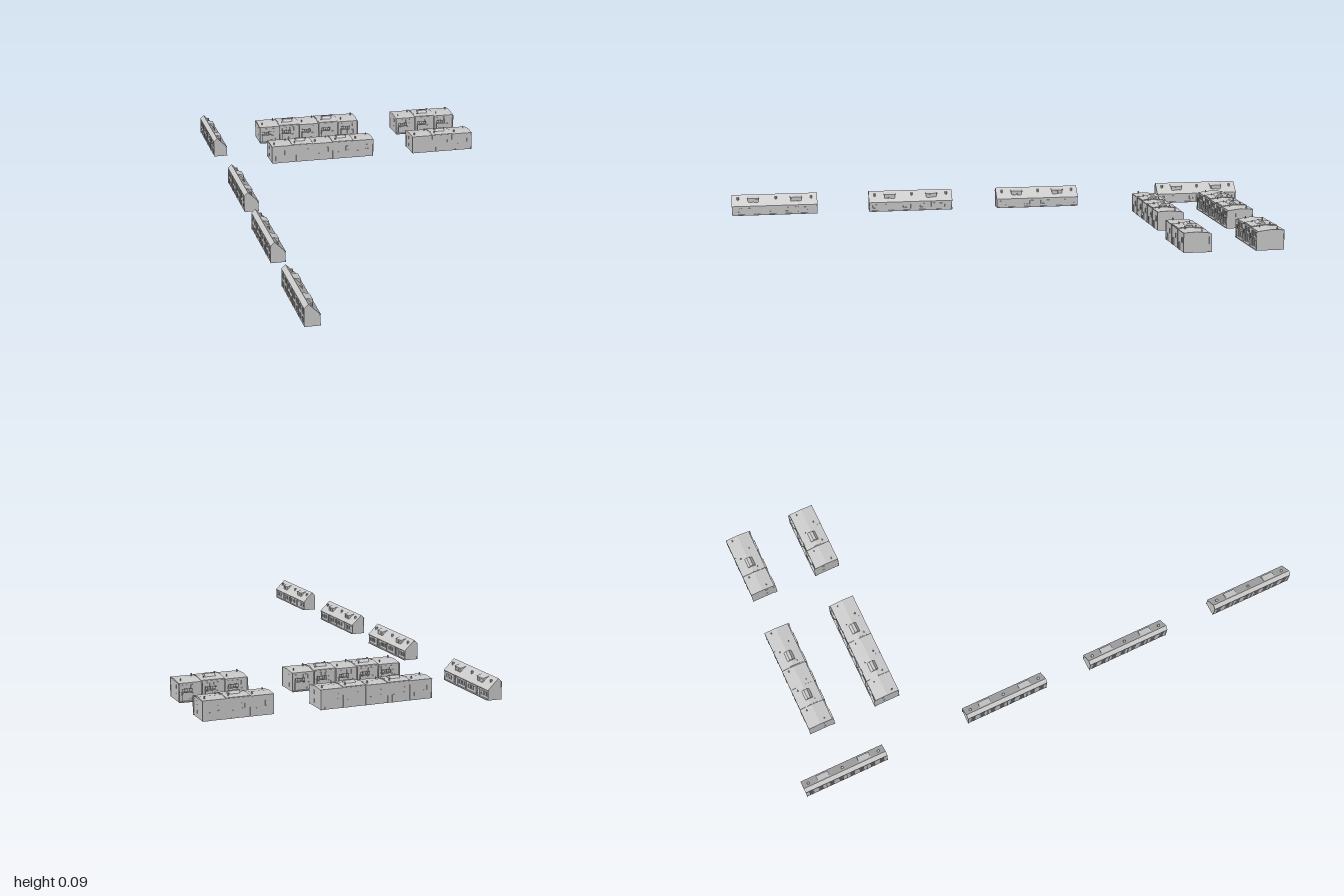
import * as THREE from 'three';

const material = new THREE.MeshStandardMaterial({ color: 0xcccccc, flatShading: true });
const UNIT = 0.089; // width of one terraced house

function add(parent, name, geometry, x = 0, y = 0, z = 0) {
  const mesh = new THREE.Mesh(geometry, material);
  mesh.name = name;
  mesh.position.set(x, y, z);
  parent.add(mesh);
  return mesh;
}

// Box standing on height y
function box(parent, name, w, h, d, x, y, z) {
  return add(parent, name, new THREE.BoxGeometry(w, h, d), x, y + h / 2, z);
}

// Cross-section given as [z, y] points, extruded along x
function prism(parent, name, section, length, x = 0) {
  const shape = new THREE.Shape(section.map(([z, y]) => new THREE.Vector2(-z, y)));
  const geometry = new THREE.ExtrudeGeometry(shape, { depth: length, bevelEnabled: false });
  geometry.translate(0, 0, -length / 2).rotateY(Math.PI / 2);
  return add(parent, name, geometry, x);
}

// Four-sided frame with a sill, standing proud of a wall facing +z or -z
function windowFrame(parent, x, y, z, w, h) {
  const t = 0.0015;
  for (const s of [-1, 1]) {
    box(parent, 'windowJamb', t, h, 0.002, x + s * w / 2, y, z);
    box(parent, 'windowRail', w + t, t, 0.002, x, s < 0 ? y : y + h - t, z);
  }
}

// Slim terrace: steep front roof, short back roof, four houses
function slimTerrace() {
  const g = new THREE.Group();
  g.name = 'slimTerrace';
  const length = 0.35, unit = length / 4;
  prism(g, 'terraceBody', [[-0.027, 0], [0.024, 0], [0.024, 0.041], [-0.014, 0.078], [-0.027, 0.066]], length - 0.004);
  prism(g, 'frontRoof', [[0.029, 0.036], [0.029, 0.039], [-0.014, 0.081], [-0.014, 0.078]], length);
  prism(g, 'backRoof', [[-0.029, 0.064], [-0.014, 0.078], [-0.014, 0.081], [-0.029, 0.067]], length);
  box(g, 'frontStep', length - 0.004, 0.004, 0.005, 0, 0, 0.0265);
  for (let i = 0; i < 4; i++) {
    const x = (i - 1.5) * unit;
    const side = i % 2 ? -1 : 1;
    box(g, 'frontDoor', 0.012, 0.026, 0.002, x + side * 0.03, 0.004, 0.025);
    for (const dx of [-0.02, 0.004]) windowFrame(g, x + side * dx, 0.013, 0.025, 0.016, 0.016);
    for (const y of [0.01, 0.04]) {
      for (const dx of [-0.02, 0.02]) windowFrame(g, x + dx, y, -0.0275, 0.016, 0.016);
    }
  }
  // Party wall ribs on both sides
  for (let i = 0; i <= 4; i++) {
    const x = (i - 2) * (unit - 0.001);
    box(g, 'backRib', 0.002, 0.064, 0.002, x, 0, -0.028);
    box(g, 'frontRib', 0.002, 0.036, 0.003, x, 0, 0.0255);
  }
  // Paired flat-topped dormers and small roof vents
  for (const x of [-unit, unit]) {
    prism(g, 'dormer', [[-0.012, 0.072], [0.014, 0.045], [0.014, 0.068], [-0.009, 0.074]], 0.044, x);
    prism(g, 'dormerRoof', [[-0.011, 0.073], [0.016, 0.067], [0.016, 0.069], [-0.011, 0.076]], 0.05, x);
    for (const dx of [-0.011, 0.011]) windowFrame(g, x + dx, 0.052, 0.0145, 0.015, 0.013);
  }
  for (const x of [-0.15, 0.005, 0.15]) {
    add(g, 'roofVent', new THREE.CylinderGeometry(0.005, 0.005, 0.018, 8), x, 0.063, 0.002);
  }
  return g;
}

// Deep terrace: shallow roof, raised alternate houses, garden side at +z
function deepTerrace(units) {
  const g = new THREE.Group();
  g.name = 'deepTerrace';
  const length = units * UNIT;
  prism(g, 'terraceBody', [[-0.052, 0], [0.044, 0], [0.044, 0.071], [-0.004, 0.076], [-0.052, 0.073]], length - 0.003);
  prism(g, 'roof', [[-0.054, 0.072], [0.047, 0.07], [0.047, 0.072], [-0.004, 0.078], [-0.054, 0.075]], length);
  box(g, 'gardenTerrace', length, 0.004, 0.012, 0, 0, 0.048);
  for (let i = 0; i < units; i++) {
    const x = (i - (units - 1) / 2) * UNIT;
    // Raised roof light on every second house
    if (i % 2) {
      prism(g, 'raisedRoof', [[-0.052, 0.074], [0.045, 0.071], [0.045, 0.075], [-0.004, 0.081], [-0.052, 0.077]], UNIT - 0.003, x);
      prism(g, 'roofLight', [[-0.02, 0.077], [0.018, 0.075], [0.004, 0.089], [-0.008, 0.089]], 0.04, x);
    }
    add(g, 'roofVent', new THREE.CylinderGeometry(0.003, 0.003, 0.012, 8), x + 0.03, 0.08, -0.03);
    add(g, 'roofVent', new THREE.CylinderGeometry(0.002, 0.002, 0.01, 8), x - 0.028, 0.079, 0.02);
    // Garden side: door, windows, balcony with rail
    box(g, 'gardenDoor', 0.013, 0.028, 0.002, x - 0.026, 0.004, 0.045);
    windowFrame(g, x + 0.012, 0.01, 0.045, 0.028, 0.022);
    for (const dx of [-0.022, 0.012]) windowFrame(g, x + dx, 0.046, 0.045, 0.018, 0.018);
    box(g, 'canopy', 0.04, 0.003, 0.01, x - 0.014, 0.036, 0.049);
    box(g, 'balconyRail', 0.04, 0.002, 0.0015, x - 0.014, 0.05, 0.053);
    for (let k = 0; k < 5; k++) box(g, 'baluster', 0.0015, 0.012, 0.0015, x - 0.033 + k * 0.0095, 0.039, 0.053);
    box(g, 'canopyPost', 0.002, 0.036, 0.002, x - 0.033, 0, 0.052);
    // Street side: one door and a small window
    box(g, 'streetDoor', 0.012, 0.03, 0.002, x + 0.022, 0, -0.0525);
    windowFrame(g, x - 0.018, 0.034, -0.0525, 0.012, 0.02);
  }
  // Party walls projecting slightly from both long sides
  for (let i = 0; i <= units; i++) {
    const x = (i - units / 2) * (UNIT - 0.0005);
    box(g, 'streetRib', 0.002, 0.075, 0.002, x, 0, -0.053);
    box(g, 'gardenPartition', 0.002, 0.07, 0.01, x, 0, 0.048);
    if (i > 0 && i < units) {
      prism(g, 'partyWallCap', [[-0.054, 0.074], [0.046, 0.071], [0.046, 0.0745], [-0.004, 0.0805], [-0.054, 0.0775]], 0.003, x);
    }
  }
  // Gable windows
  for (const s of [-1, 1]) {
    for (const y of [0.014, 0.046]) box(g, 'gableWindow', 0.002, 0.014, 0.008, s * (length / 2 - 0.0015), y, 0.012);
  }
  return g;
}

export function createModel() {
  const model = new THREE.Group();
  model.name = 'housingEstate';
  const place = (building, x, z, degrees) => {
    building.position.set(x, 0, z);
    building.rotation.y = THREE.MathUtils.degToRad(degrees);
    model.add(building);
  };
  // Line of slim terraces
  for (const [x, z] of [[0.03, -0.777], [-0.322, -0.173], [-0.598, 0.288], [-0.885, 0.773]]) {
    place(slimTerrace(), x, z, 60);
  }
  // Deep terraces facing each other across a garden
  place(deepTerrace(5), 0.398, -0.572, -30);
  place(deepTerrace(3), 0.848, -0.294, -30);
  place(deepTerrace(5), 0.254, -0.333, 150);
  place(deepTerrace(3), 0.706, -0.059, 150);
  return model;
}
